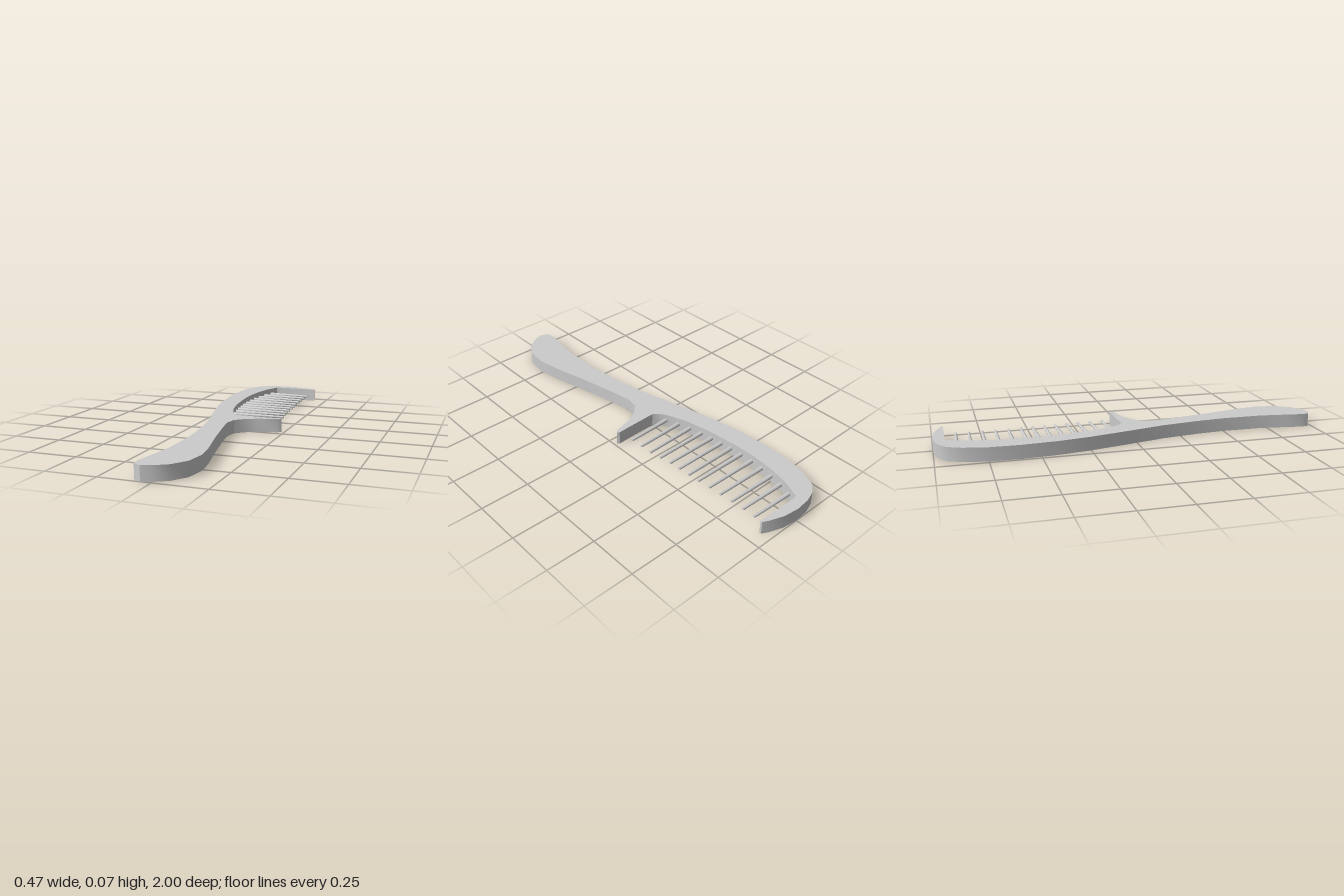
import * as THREE from 'three';
import { toCreasedNormals } from 'three/addons/utils/BufferGeometryUtils.js';

const HEIGHT = 0.07;

// Outline of the flat body as [x, z], starting at the end guard's tip
const OUTLINE = [
  // end guard and spine
  [0.18, -0.94], [0.18, -0.95], [0.15, -0.965], [0.08, -0.99], [0, -1], [-0.077, -0.993], [-0.135, -0.974],
  [-0.177, -0.94], [-0.21, -0.868], [-0.235, -0.75], [-0.238, -0.6], [-0.225, -0.42],
  [-0.2, -0.265], [-0.15, -0.053], [-0.098, 0.155],
  // handle
  [-0.07, 0.345], [-0.056, 0.5], [-0.058, 0.715], [-0.077, 0.847], [-0.092, 0.94],
  [-0.087, 0.98], [-0.05, 1], [0, 0.985], [0.06, 0.947], [0.11, 0.873], [0.125, 0.762],
  [0.108, 0.65], [0.066, 0.466], [0.03, 0.29], [0.003, 0.143],
  // finger guard
  [0.015, 0.07], [0.055, 0.03], [0.12, -0.005], [0.22, -0.03], [0.235, -0.043], [0.225, -0.053],
  [0.15, -0.05], [0, -0.047],
  // inner edge carrying the teeth
  [-0.024, -0.063], [-0.05, -0.1], [-0.087, -0.2], [-0.113, -0.333], [-0.13, -0.515],
  [-0.13, -0.635], [-0.12, -0.74], [-0.098, -0.847], [-0.06, -0.937], [-0.04, -0.943],
];

// Each tooth: [base x, base z, tip x, tip z]
const TEETH = [
  [-0.09, -0.886, 0.151, -0.881], [-0.103, -0.819, 0.151, -0.815],
  [-0.115, -0.75, 0.153, -0.747], [-0.127, -0.682, 0.156, -0.68],
  [-0.13, -0.614, 0.159, -0.613], [-0.13, -0.546, 0.164, -0.547],
  [-0.13, -0.48, 0.167, -0.486], [-0.124, -0.42, 0.17, -0.424],
  [-0.118, -0.36, 0.172, -0.364], [-0.107, -0.296, 0.18, -0.303],
  [-0.092, -0.228, 0.188, -0.24], [-0.077, -0.163, 0.188, -0.175],
  [-0.06, -0.096, 0.19, -0.108],
];

export function createModel() {
  const comb = new THREE.Group();
  comb.name = 'comb';
  const material = new THREE.MeshStandardMaterial({ color: 0xcccccc });

  // Body: spine, handle and both guards in one flat piece
  const shape = new THREE.Shape(OUTLINE.map(([x, z]) => new THREE.Vector2(x, -z)));
  const bodyGeometry = new THREE.ExtrudeGeometry(shape, { depth: HEIGHT, bevelEnabled: false });
  bodyGeometry.rotateX(-Math.PI / 2);
  const body = new THREE.Mesh(toCreasedNormals(bodyGeometry, 0.55), material);
  body.name = 'body';
  comb.add(body);

  // Teeth: thin tapered rods rooted slightly inside the spine
  const teeth = new THREE.Group();
  teeth.name = 'teeth';
  const up = new THREE.Vector3(0, 1, 0);
  for (const [bx, bz, tx, tz] of TEETH) {
    const base = new THREE.Vector3(bx - 0.015, HEIGHT / 2, bz);
    const tip = new THREE.Vector3(tx, HEIGHT / 2, tz);
    const along = tip.clone().sub(base);
    const tooth = new THREE.Mesh(new THREE.CylinderGeometry(0.0065, 0.0115, along.length(), 12), material);
    tooth.position.copy(base).add(tip).multiplyScalar(0.5);
    tooth.quaternion.setFromUnitVectors(up, along.normalize());
    tooth.name = 'tooth';
    teeth.add(tooth);
  }
  comb.add(teeth);

  return comb;
}
